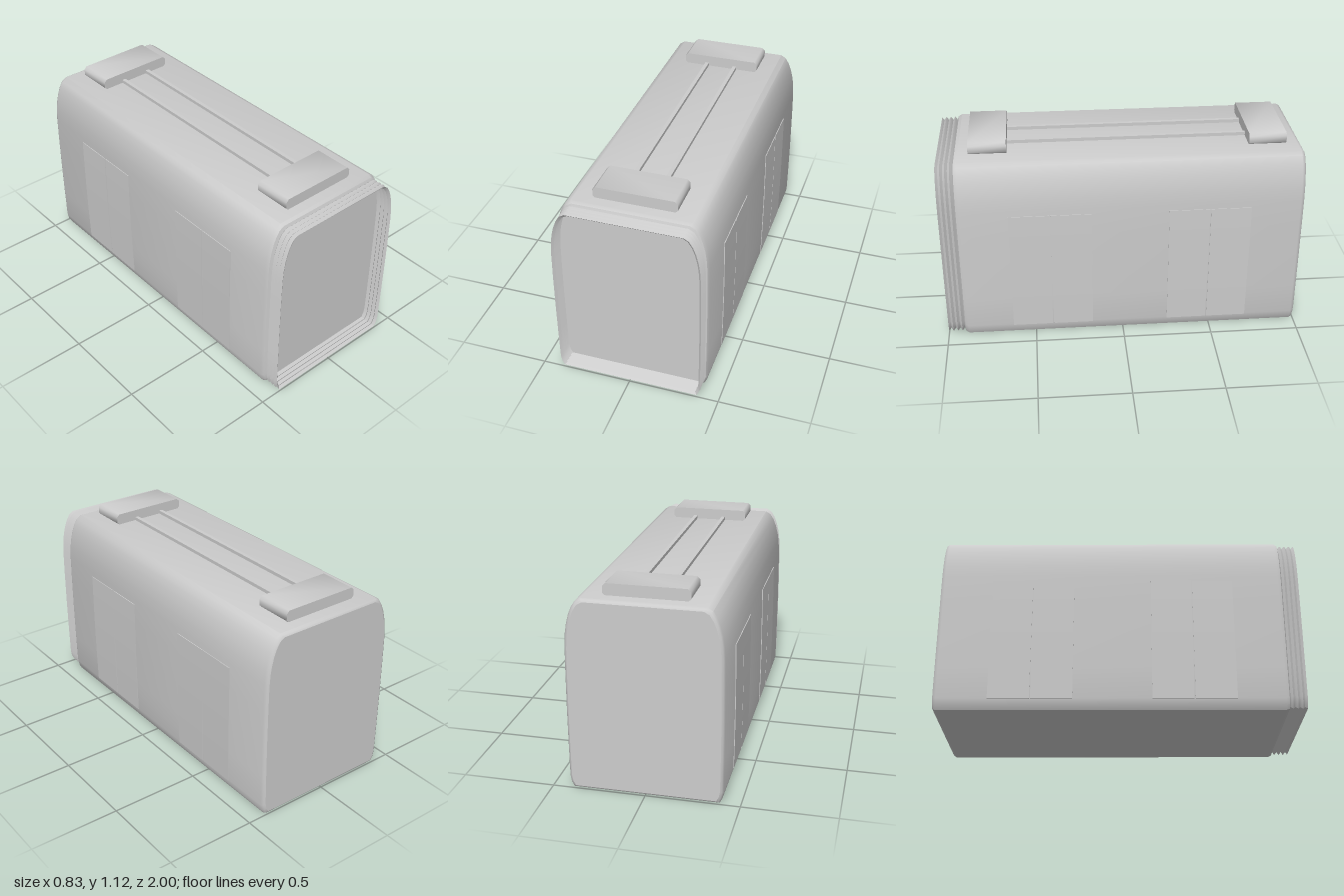
import * as THREE from 'three';
import { toCreasedNormals } from 'three/addons/utils/BufferGeometryUtils.js';

// Right half of the carriage cross-section, bottom to top
const HALF = [[0.39, 0.005], [0.403, 0.03], [0.41, 0.065], [0.412, 0.25], [0.413, 0.45], [0.412, 0.65],
  [0.41, 0.8], [0.405, 0.87], [0.397, 0.92], [0.384, 0.97], [0.368, 1.01], [0.347, 1.043], [0.318, 1.06]];
const SECTION = [...HALF, ...HALF.map(([x, y]) => [-x, y]).reverse()];
const MID = 0.5325;

// Cross-section shrunk evenly by a distance
function section(inset) {
  const sx = 1 - inset / 0.413, sy = 1 - inset / 0.5275;
  return SECTION.map(([x, y]) => new THREE.Vector2(x * sx, MID + (y - MID) * sy));
}

// Skin through rings given as [z, inset]
function loft(rings, crease) {
  const pos = [], index = [], n = SECTION.length;
  rings.forEach(([z, inset], i) => {
    section(inset).forEach((p, j) => {
      pos.push(p.x, p.y, z);
      if (i === rings.length - 1) return;
      const a = i * n + j, b = i * n + (j + 1) % n;
      index.push(a, b, b + n, a, b + n, a + n);
    });
  });
  const g = new THREE.BufferGeometry();
  g.setAttribute('position', new THREE.Float32BufferAttribute(pos, 3));
  g.setIndex(index);
  return toCreasedNormals(g, crease);
}

// Side body outline x at a height
function sideX(y) {
  const k = HALF.findIndex((p) => p[1] >= y);
  const [x0, y0] = HALF[k - 1], [x1, y1] = HALF[k];
  return x0 + (x1 - x0) * (y - y0) / (y1 - y0);
}

export function createModel() {
  const group = new THREE.Group();
  const grey = new THREE.MeshStandardMaterial({ color: 0xcccccc });
  grey.name = 'body grey';
  grey.side = THREE.DoubleSide;
  const add = (name, geometry, x = 0, y = 0, z = 0) => {
    const mesh = new THREE.Mesh(geometry, grey);
    mesh.name = name;
    mesh.position.set(x, y, z);
    group.add(mesh);
    return mesh;
  };

  // Carriage shell with softened ends
  add('bodyShell', loft([[-1, 0.016], [-0.994, 0.007], [-0.98, 0], [0.885, 0], [0.903, 0.008], [0.91, 0.024]], 0.7));
  add('rearWall', new THREE.ShapeGeometry(new THREE.Shape(section(0.016))), 0, 0, -1).rotation.y = Math.PI;
  add('frontWall', new THREE.ShapeGeometry(new THREE.Shape(section(0.024))), 0, 0, 0.91);

  // Open pleated gangway at the front
  const pleats = [];
  for (let i = 0; i <= 7; i++) pleats.push([0.91 + i * 0.09 / 7, i % 2 ? 0.01 : 0.024]);
  pleats[7][1] = 0.012;
  add('gangwayBellows', loft(pleats, 0.6));

  // Double doors: thin leaves that follow the bulge of the sides
  const heights = [0.06, 0.25, 0.45, 0.65, 0.77];
  const leaf = new THREE.Shape([
    ...heights.map((y) => new THREE.Vector2(sideX(y) + 0.004, y)),
    ...heights.map((y) => new THREE.Vector2(sideX(y) - 0.003, y)).reverse()]);
  const leafGeometry = new THREE.ExtrudeGeometry(leaf, { depth: 0.224, bevelEnabled: false });
  for (const [place, centre] of [['front', 0.4], ['rear', -0.48]]) {
    for (const edge of [-0.227, 0.003]) {
      add(place + 'DoorLeafLeft', leafGeometry, 0, 0, centre + edge);
      add(place + 'DoorLeafRight', leafGeometry, 0, 0, centre + edge + 0.224).rotation.y = Math.PI;
    }
  }

  // Roof units with chamfered long edges
  const w = 0.225, c = 0.016, y0 = 1.056, y1 = 1.123;
  const outline = new THREE.Shape([[-w + c, y0], [w - c, y0], [w, y0 + c], [w, y1 - c], [w - c, y1],
    [-w + c, y1], [-w, y1 - c], [-w, y0 + c]].map(([x, y]) => new THREE.Vector2(x, y)));
  const unit = toCreasedNormals(new THREE.ExtrudeGeometry(outline, { depth: 0.208, bevelEnabled: false }), 0.9);
  add('frontRoofUnit', unit, 0, 0, 0.62);
  add('rearRoofUnit', unit, 0, 0, -0.917);

  // Twin roof conduits between the units
  for (const x of [-0.087, 0.087]) add('roofConduit', new THREE.BoxGeometry(0.022, 0.026, 1.35), x, 1.066, -0.045);

  return group;
}
